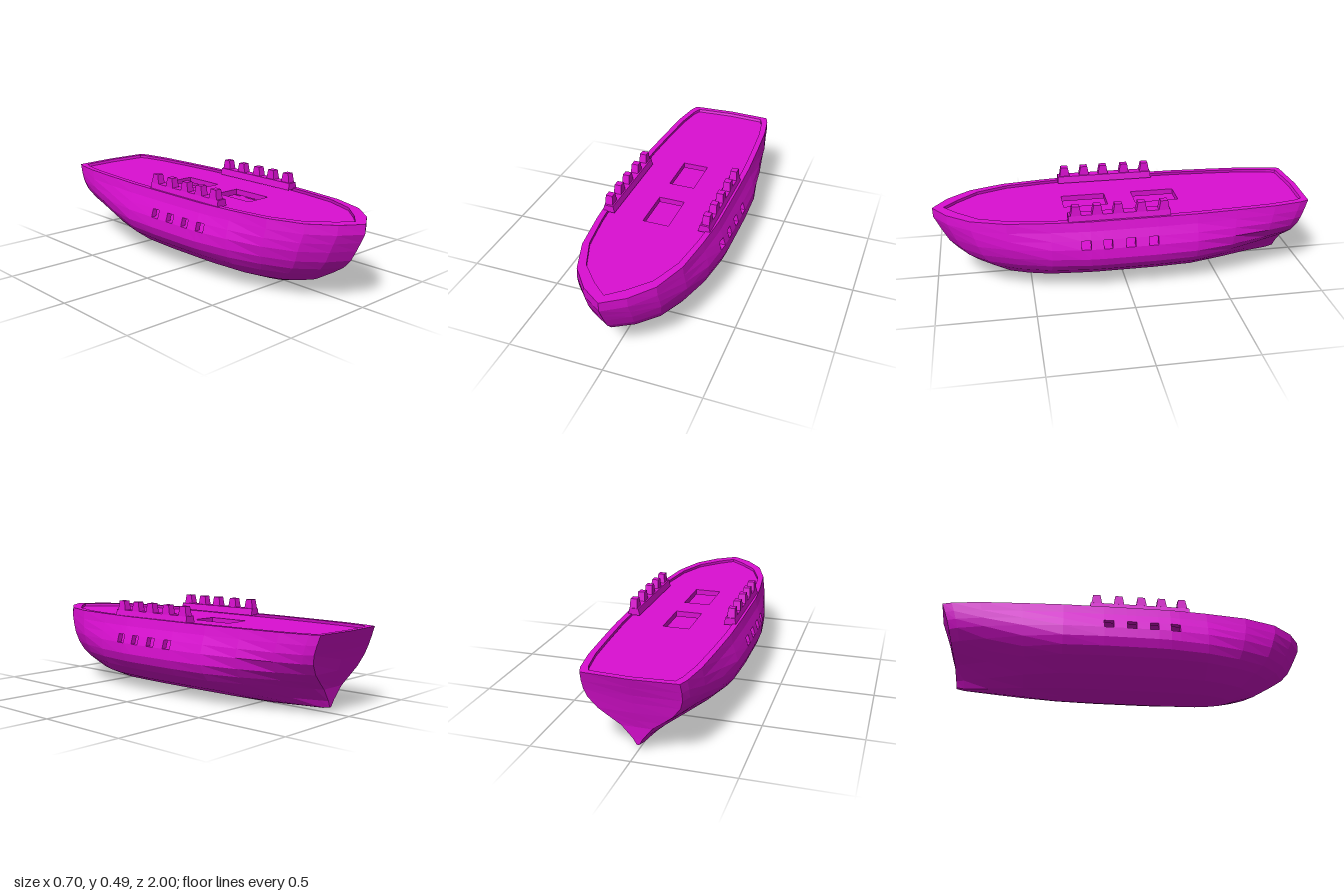
import * as THREE from 'three';

export function createModel() {
  const group = new THREE.Group();
  group.name = 'sailingShip';
  const magenta = new THREE.MeshStandardMaterial({ color: 0xdb0fd2, side: THREE.DoubleSide });
  magenta.name = 'magenta';

  // Stations bow to stern, with breadth ratios for full (rail) and fine (keel) waterlines
  const Z = [0.995, 0.92, 0.8, 0.62, 0.4, 0.25, 0.2, 0.135, 0.09, 0.02, -0.03, -0.1, -0.15, -0.36, -0.58, -0.8, -0.95, -1];
  const FULL = [0, 0.35, 0.66, 0.86, 0.95, 0.99, 1, 1, 1, 1, 1, 1, 1, 0.99, 0.95, 0.9, 0.82, 0.76];
  const FINE = [0, 0.3, 0.57, 0.76, 0.91, 0.97, 0.99, 1, 1, 1, 1, 1, 1, 0.95, 0.72, 0.36, 0.14, 0.08];
  const KEEL = [...Array(13).fill(0.02), 0.018, 0.003, 0.015, 0.022, 0.03];
  const N = Z.length - 1;

  // Waterlines: y, half breadth, bow z, stern z, bow fineness, stern fineness
  const LEVELS = [
    [0.41, 0.305, 0.995, -0.987, 0, 0],
    [0.36, 0.315, 0.993, -0.97, 0.1, 0.02],
    [0.315, 0.331, 0.972, -0.955, 0.3, 0.08],
    [0.27, 0.345, 0.95, -0.943, 0.55, 0.18],
    [0.215, 0.348, 0.92, -0.93, 0.9, 0.36],
    [0.17, 0.331, 0.88, -0.918, 1, 0.56],
    [0.13, 0.3, 0.82, -0.908, 1, 0.75],
    [0.065, 0.207, 0.71, -0.9, 1, 0.95],
    [0.025, 0.1, 0.58, -0.897, 1, 1],
    [0.02, 0, 0.52, -0.895, 1, 1],
  ];
  const PORT_ROW = 2, FLOOR_ROW = 3, PORTS = [5, 7, 9, 11];

  // Point on the outer (inset = false) or inner skin, +x side
  function point(i, j, inset = false) {
    const [y, w, bow, stern, fb, fs] = LEVELS[j];
    const f = Z[i] > 0 ? fb : fs;
    const zb = bow - (inset ? 0.06 : 0), zs = stern + (inset ? 0.03 : 0);
    let z = Z[i];
    if (z > 0.4) z = 0.4 + (z - 0.4) * (zb - 0.4) / 0.595;
    if (z < -0.4) z = -0.4 + (z + 0.4) * (zs + 0.4) / -0.6;
    let x = w * (FULL[i] * (1 - f) + FINE[i] * f);
    if (inset) x = Math.max(0, x - 0.03);
    const py = j === 9 ? KEEL[i] : Math.max(y, KEEL[i] + (j === 8 ? 0.005 : 0));
    return [x, py, z];
  }
  // Centre of the stern, slightly bowed out at the top
  function centre(j, inset = false) {
    const p = point(N, j, inset);
    return [0, p[1], p[2] - 0.013 * Math.max(0, 1 - j / 6)];
  }

  // Flat-shaded mesh from quads, each mirrored across x = 0
  function mirroredMesh(name, build) {
    const pos = [];
    const flip = ([x, y, z]) => [-x, y, z];
    build((a, b, c, d) => {
      pos.push(...a, ...b, ...c, ...a, ...c, ...d);
      const [e, f, g, h] = [d, c, b, a].map(flip);
      pos.push(...e, ...f, ...g, ...e, ...g, ...h);
    });
    const geo = new THREE.BufferGeometry();
    geo.setAttribute('position', new THREE.Float32BufferAttribute(pos, 3));
    geo.computeVertexNormals();
    const mesh = new THREE.Mesh(geo, magenta);
    mesh.name = name;
    group.add(mesh);
  }
  const isPort = (i, j) => j === PORT_ROW && PORTS.includes(i);

  // Outer planking with open ports
  mirroredMesh('hull', quad => {
    for (let j = 0; j < LEVELS.length - 1; j++)
      for (let i = 0; i < N; i++)
        if (!isPort(i, j)) quad(point(i, j), point(i, j + 1), point(i + 1, j + 1), point(i + 1, j));
  });
  mirroredMesh('transom', quad => {
    for (let j = 0; j < LEVELS.length - 1; j++)
      quad(point(N, j), point(N, j + 1), centre(j + 1), centre(j));
  });

  // Inner lining and the lower deck floor
  mirroredMesh('innerWall', quad => {
    for (let j = 0; j < FLOOR_ROW; j++) {
      for (let i = 0; i < N; i++)
        if (!isPort(i, j)) quad(point(i, j, true), point(i + 1, j, true), point(i + 1, j + 1, true), point(i, j + 1, true));
      quad(point(N, j, true), centre(j, true), centre(j + 1, true), point(N, j + 1, true));
    }
  });
  mirroredMesh('lowerDeck', quad => {
    for (let i = 0; i < N; i++) {
      const a = point(i, FLOOR_ROW, true), b = point(i + 1, FLOOR_ROW, true);
      quad(a, b, [0, b[1], b[2]], [0, a[1], a[2]]);
    }
  });

  // Rail cap around the top edge
  mirroredMesh('railCap', quad => {
    for (let i = 0; i < N; i++) quad(point(i, 0), point(i + 1, 0), point(i + 1, 0, true), point(i, 0, true));
    quad(point(N, 0), centre(0), centre(0, true), point(N, 0, true));
  });

  // Port reveals through the wall thickness
  mirroredMesh('portFrames', quad => {
    for (const i of PORTS) {
      const ring = [[i, PORT_ROW], [i, PORT_ROW + 1], [i + 1, PORT_ROW + 1], [i + 1, PORT_ROW]];
      ring.forEach((p, k) => {
        const q = ring[(k + 1) % 4];
        quad(point(...p), point(...q), point(...q, true), point(...p, true));
      });
    }
  });

  // Main deck with two open hatches (shape y is -z)
  const side = Z.map((_, i) => point(i, 0, true));
  const outline = [
    ...side.map(p => new THREE.Vector2(p[0], -p[2])),
    new THREE.Vector2(0, -centre(0, true)[2]),
    ...side.slice(1).reverse().map(p => new THREE.Vector2(-p[0], -p[2])),
  ].filter((p, k, all) => k === 0 || p.distanceTo(all[k - 1]) > 1e-4);
  const deckShape = new THREE.Shape(outline);
  for (const [z0, z1] of [[-0.31, -0.075], [0.075, 0.31]]) {
    deckShape.holes.push(new THREE.Path([
      new THREE.Vector2(-0.07, -z0), new THREE.Vector2(0.07, -z0),
      new THREE.Vector2(0.07, -z1), new THREE.Vector2(-0.07, -z1),
    ]));
  }
  const deckGeo = new THREE.ExtrudeGeometry(deckShape, { depth: 0.03, bevelEnabled: false });
  deckGeo.rotateX(-Math.PI / 2);
  const deck = new THREE.Mesh(deckGeo, magenta);
  deck.name = 'mainDeck';
  deck.position.y = 0.365;
  group.add(deck);

  // Box narrowed towards its top
  function taperedBox(w, h, d, topX, topZ) {
    const geo = new THREE.BoxGeometry(w, h, d).toNonIndexed();
    const p = geo.attributes.position;
    for (let k = 0; k < p.count; k++)
      if (p.getY(k) > 0) p.setXYZ(k, p.getX(k) * topX, p.getY(k), p.getZ(k) * topZ);
    geo.computeVertexNormals();
    return geo;
  }

  // Raised side rails with tapered posts
  const baseGeo = taperedBox(0.065, 0.036, 0.53, 0.75, 0.995);
  const postGeo = taperedBox(0.042, 0.05, 0.056, 0.85, 0.68);
  for (const s of [1, -1]) {
    const rail = new THREE.Group();
    rail.name = s > 0 ? 'leftSideRail' : 'rightSideRail';
    const base = new THREE.Mesh(baseGeo, magenta);
    base.name = 'railBase';
    base.position.set(s * 0.261, 0.422, 0.045);
    rail.add(base);
    for (const z of [0.27, 0.16, 0.052, -0.068, -0.186]) {
      const post = new THREE.Mesh(postGeo, magenta);
      post.name = 'railPost';
      post.position.set(s * 0.265, 0.464, z);
      rail.add(post);
    }
    group.add(rail);
  }
  return group;
}
